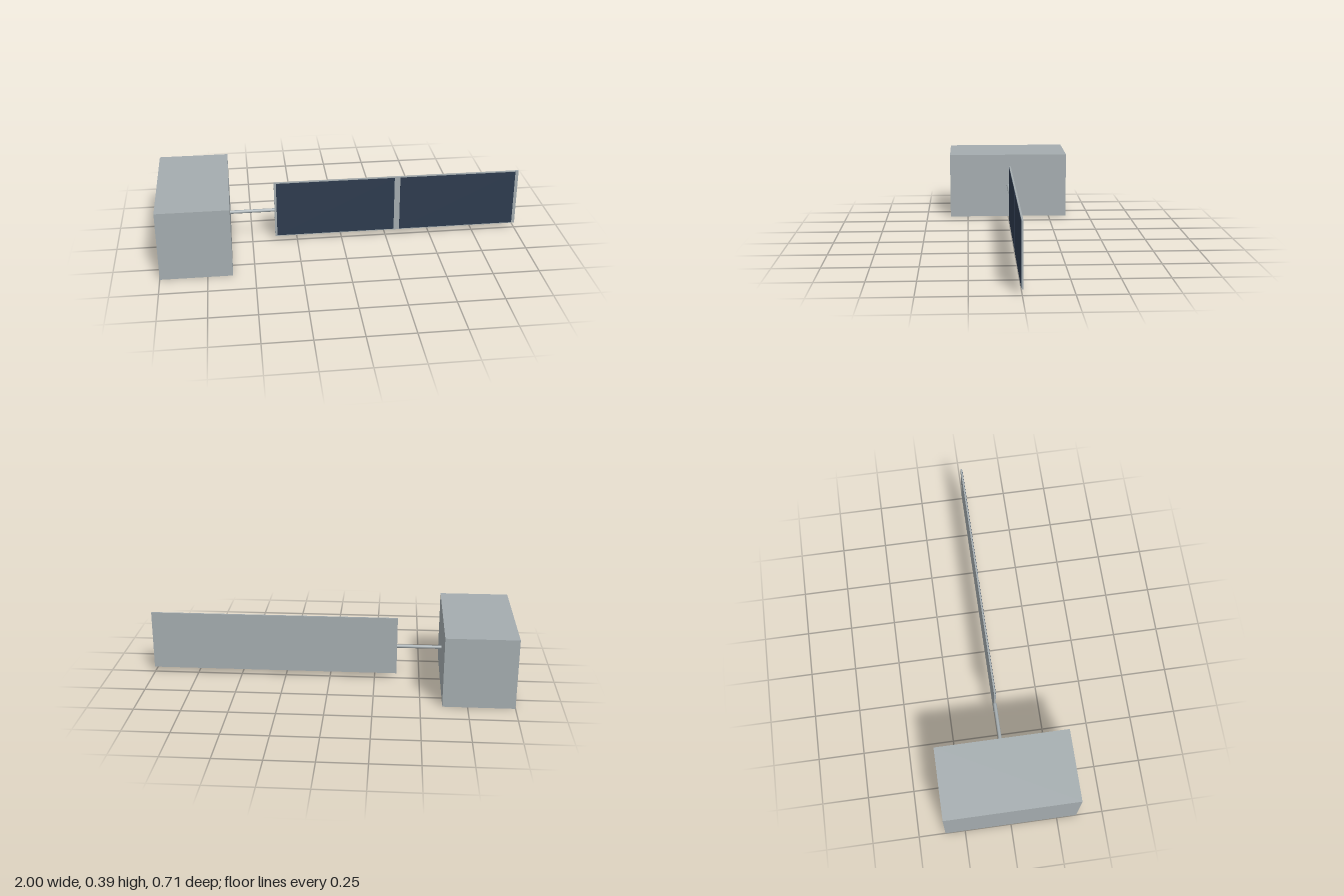
import * as THREE from 'three';

export function createModel() {
  const model = new THREE.Group();
  model.name = 'satellite';

  const grey = new THREE.MeshStandardMaterial({ color: 0xa4acaf });
  grey.name = 'hull grey';
  const navy = new THREE.MeshStandardMaterial({ color: 0x2d3b4e });
  navy.name = 'solar cell navy';

  const add = (name, geometry, material, x, y, z) => {
    const mesh = new THREE.Mesh(geometry, material);
    mesh.name = name;
    mesh.position.set(x, y, z);
    model.add(mesh);
    return mesh;
  };
  // Box given by its x, y and z ranges
  const box = (name, material, [x0, x1], [y0, y1], [z0, z1]) =>
    add(name, new THREE.BoxGeometry(x1 - x0, y1 - y0, z1 - z0), material,
      (x0 + x1) / 2, (y0 + y1) / 2, (z0 + z1) / 2);

  // Main body
  box('body', grey, [-1, -0.617], [0, 0.386], [-0.357, 0.357]);

  // Boom joining the body to the panel
  const boom = add('boom', new THREE.CylinderGeometry(0.0095, 0.0095, 0.246, 16), grey, -0.495, 0.193, 0);
  boom.rotation.z = Math.PI / 2;

  // Panel backing, with solar cells on the front only
  box('panelFrame', grey, [-0.373, 1], [0.03, 0.358], [-0.005, 0.004]);
  for (const [name, range] of [['innerSolarCells', [-0.361, 0.297]], ['outerSolarCells', [0.329, 0.982]]]) {
    box(name, navy, range, [0.035, 0.353], [0.003, 0.0055]);
  }

  return model;
}
